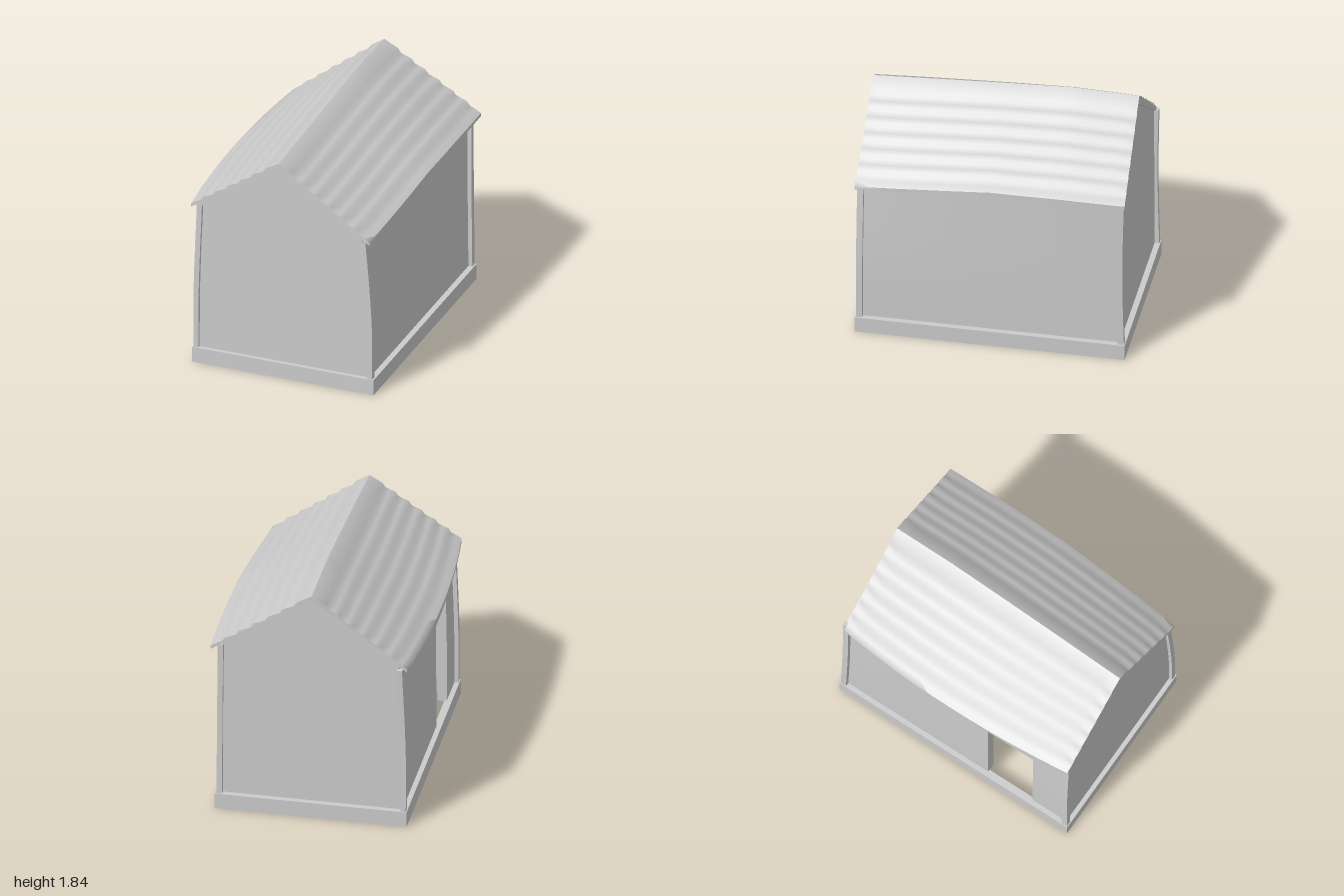
import * as THREE from 'three';
import { toCreasedNormals } from 'three/addons/utils/BufferGeometryUtils.js';

const material = new THREE.MeshStandardMaterial({ color: 0xcccccc });
const { clamp, lerp } = THREE.MathUtils;
const BASE_TOP = 0.12;

// Smooth curve along the length through front (z=1), middle and back (z=-1) values
const along = (z, front, mid, back) =>
  mid + (z * (front - back)) / 2 + z * z * ((front + back) / 2 - mid);

// Straight runs between five evenly spaced values from front to back
function runs(z, values) {
  const s = clamp((1 - z) * 2, 0, 4), i = Math.min(3, Math.floor(s));
  return lerp(values[i], values[i + 1], s - i);
}

// Outer face of the crooked side, leaning in towards the top
function sideX(side, y, z) {
  const lean = Math.pow(clamp((y - 0.45) / 0.8, 0, 1), 1.4);
  return side > 0
    ? lerp(0.707, along(z, 0.65, 0.69, 0.7), lean)
    : lerp(-0.688, along(z, -0.66, -0.685, -0.66), lean);
}

// Sagging roof: ridge and eaves vary along the length; u runs -1 (eave) .. 0 (ridge) .. 1 (eave)
const ridgeX = (z) => along(z, -0.02, -0.002, 0.01);
const eaveX = (side, z) => (side > 0 ? along(z, 0.69, 0.745, 0.75) : along(z, -0.7, -0.755, -0.69));
const roofX = (u, z) => lerp(ridgeX(z), eaveX(Math.sign(u) || 1, z), Math.abs(u));
function roofY(u, z) {
  const ridge = runs(z, [1.74, 1.775, 1.808, 1.835, 1.825]);
  const eave = u > 0 ? runs(z, [1.235, 1.29, 1.343, 1.352, 1.348]) : 1.287;
  return lerp(ridge, eave, Math.abs(u));
}
const thickness = (u) => 0.045 - 0.02 * Math.abs(u);
function underY(x, z) {
  const side = x > ridgeX(z) ? 1 : -1;
  const u = side * Math.abs((x - ridgeX(z)) / (eaveX(side, z) - ridgeX(z)));
  return roofY(u, z) - thickness(u);
}

function addMesh(parent, name, geometry) {
  const mesh = new THREE.Mesh(geometry, material);
  mesh.name = name;
  parent.add(mesh);
}

// Segmented box between two corners whose vertices are moved by a rule
function bentBox(min, max, segments, rule) {
  const size = max.map((v, i) => v - min[i]);
  const g = new THREE.BoxGeometry(...size, ...segments);
  g.translate(...min.map((v, i) => v + size[i] / 2));
  const p = g.attributes.position;
  for (let i = 0; i < p.count; i++) p.setXYZ(i, ...rule(p.getX(i), p.getY(i), p.getZ(i)));
  g.computeVertexNormals();
  return g;
}

// Closed roof profile, counter-clockwise: softly stepped shingle rows on top, plain underside
function roofProfile() {
  const rows = 7, top = [[0, 0]];
  for (let i = 1; i < rows; i++) {
    top.push([i / rows, 0.01], [(i + 0.2) / rows, -0.009], [(i + 0.6) / rows, 0]);
  }
  top.push([1, 0]);
  const right = top.slice().reverse();
  const left = top.slice(1).map(([f, n]) => [-f, n]);
  const under = [-1, 0, 1].map((u) => [u, -thickness(u)]);
  return [...right, ...left, ...under];
}

function roofGeometry() {
  const profile = roofProfile(), count = profile.length, stations = 20;
  const positions = [], index = [];
  for (let j = 0; j <= stations; j++) {
    const t = 1 - (2 * j) / stations;
    for (const [u, n] of profile) {
      const back = u > 0 ? 0.965 + 0.033 * u : 0.965 + 0.015 * u;
      positions.push(roofX(u, t), roofY(u, t) + n, t > 0 ? t : t * back);
    }
  }
  for (let j = 0; j < stations; j++) {
    for (let i = 0; i < count; i++) {
      const k = (i + 1) % count;
      const a = j * count + i, b = j * count + k, c = b + count, d = a + count;
      index.push(a, d, b, b, d, c);
    }
  }
  const outline = profile.map((_, i) => new THREE.Vector2(positions[3 * i], positions[3 * i + 1]));
  const last = stations * count;
  for (const [a, b, c] of THREE.ShapeUtils.triangulateShape(outline, [])) {
    index.push(a, b, c, last + c, last + b, last + a);
  }
  const g = new THREE.BufferGeometry();
  g.setAttribute('position', new THREE.Float32BufferAttribute(positions, 3));
  g.setIndex(index);
  return toCreasedNormals(g, 0.95);
}

// Open rectangular frame along the foundation's outline, between two heights
function baseFrame(width, y0, y1) {
  const rect = (target, inset) => {
    const x0 = -0.695 + inset, x1 = 0.72 - inset, front = -0.995 + inset, back = 0.992 - inset;
    return target.moveTo(x0, front).lineTo(x1, front).lineTo(x1, back).lineTo(x0, back).closePath();
  };
  const shape = rect(new THREE.Shape(), 0);
  shape.holes.push(rect(new THREE.Path(), width));
  const g = new THREE.ExtrudeGeometry(shape, { depth: y1 - y0, bevelEnabled: false });
  return g.rotateX(-Math.PI / 2).translate(0, y0, 0);
}

export function createModel() {
  const house = new THREE.Group();
  house.name = 'house';

  // Hollow foundation: thin skirt with a ledge carrying the walls
  addMesh(house, 'baseSkirt', baseFrame(0.01, 0, BASE_TOP - 0.01));
  addMesh(house, 'baseLedge', baseFrame(0.055, BASE_TOP - 0.01, BASE_TOP));
  addMesh(house, 'roof', roofGeometry());

  // Thin long walls: upper part stretches to meet the roof
  const DOOR_TOP = 0.95, WALL_TOP = 1.25, WALL_FOOT = 0.112;
  const sidePanel = (side, y0, y1, z0, z1, depth = 0.01) =>
    bentBox([0, y0, z0], [depth, y1, z1], [1, 6, 10], (x, y, z) => {
      const inset = side * 0.03 + (side > 0 ? depth - x : -x);
      const top = underY(sideX(side, 1.25, z) - inset, z) + 0.005;
      if (y > DOOR_TOP) y = lerp(DOOR_TOP, top, (y - DOOR_TOP) / (WALL_TOP - DOOR_TOP));
      return [sideX(side, y, z) - inset, y, z];
    });
  addMesh(house, 'leftWall', sidePanel(1, WALL_FOOT, WALL_TOP, -0.96, 0.965));

  // Wall with the doorway in three panels, and a deeper reveal around the opening
  const doorWall = new THREE.Group();
  doorWall.name = 'doorWall';
  house.add(doorWall);
  const DOOR_BACK = 0.28, DOOR_FRONT = 0.67, REVEAL = 0.07;
  addMesh(doorWall, 'wallBehindDoor', sidePanel(-1, WALL_FOOT, WALL_TOP, -0.96, DOOR_BACK));
  addMesh(doorWall, 'wallBesideDoor', sidePanel(-1, WALL_FOOT, WALL_TOP, DOOR_FRONT, 0.965));
  addMesh(doorWall, 'wallAboveDoor', sidePanel(-1, DOOR_TOP, WALL_TOP, DOOR_BACK, DOOR_FRONT));
  addMesh(doorWall, 'backJamb', sidePanel(-1, WALL_FOOT, DOOR_TOP, DOOR_BACK - 0.01, DOOR_BACK, REVEAL));
  addMesh(doorWall, 'frontJamb', sidePanel(-1, WALL_FOOT, DOOR_TOP, DOOR_FRONT, DOOR_FRONT + 0.01, REVEAL));
  addMesh(doorWall, 'lintel', sidePanel(-1, DOOR_TOP, DOOR_TOP + 0.01, DOOR_BACK, DOOR_FRONT, REVEAL));

  for (const [end, label] of [[1, 'front'], [-1, 'back']]) {
    // Gable wall: five-sided, leaning with the sides
    const zMid = end > 0 ? 0.957 : -0.945;
    addMesh(house, label + 'GableWall', bentBox([-1, 0, zMid - 0.005], [1, 1, zMid + 0.005], [2, 10, 1],
      (u, v, z) => {
        const edge = Math.sign(u) || 1;
        const eave = underY(sideX(edge, 1.25, z), z) + 0.005;
        const apex = underY(ridgeX(z), z) + 0.005;
        const y = lerp(WALL_FOOT, u ? eave : apex, v);
        return [u ? sideX(edge, y, z) - edge * 0.03 : ridgeX(z), y, z];
      }));

    // Rake trim under the roof edge
    const zTrim = end > 0 ? 0.975 : -0.945;
    addMesh(house, label + 'GableTrim', bentBox([-1, 0, zTrim - 0.02], [1, 1, zTrim + 0.02], [2, 1, 1],
      (u, v, z) => {
        const x = roofX(u * 0.92, z);
        return [x, underY(x, z) + lerp(-0.03, 0.005, v), z];
      }));

    // Corner posts
    for (const side of [1, -1]) {
      const zPost = end > 0 ? 0.965 : -0.962;
      addMesh(house, label + (side > 0 ? 'Left' : 'Right') + 'Post',
        bentBox([-0.02, 0, zPost - 0.023], [0.02, 1, zPost + 0.023], [1, 12, 1], (x, v, z) => {
          const y = lerp(WALL_FOOT, underY(sideX(side, 1.25, z), z) + 0.003, v);
          const bow = end < 0 ? 0.012 * Math.sin(Math.PI * v) : 0;
          return [sideX(side, y, z) - side * 0.02 + x, y, z + bow];
        }));
    }
  }
  return house;
}
